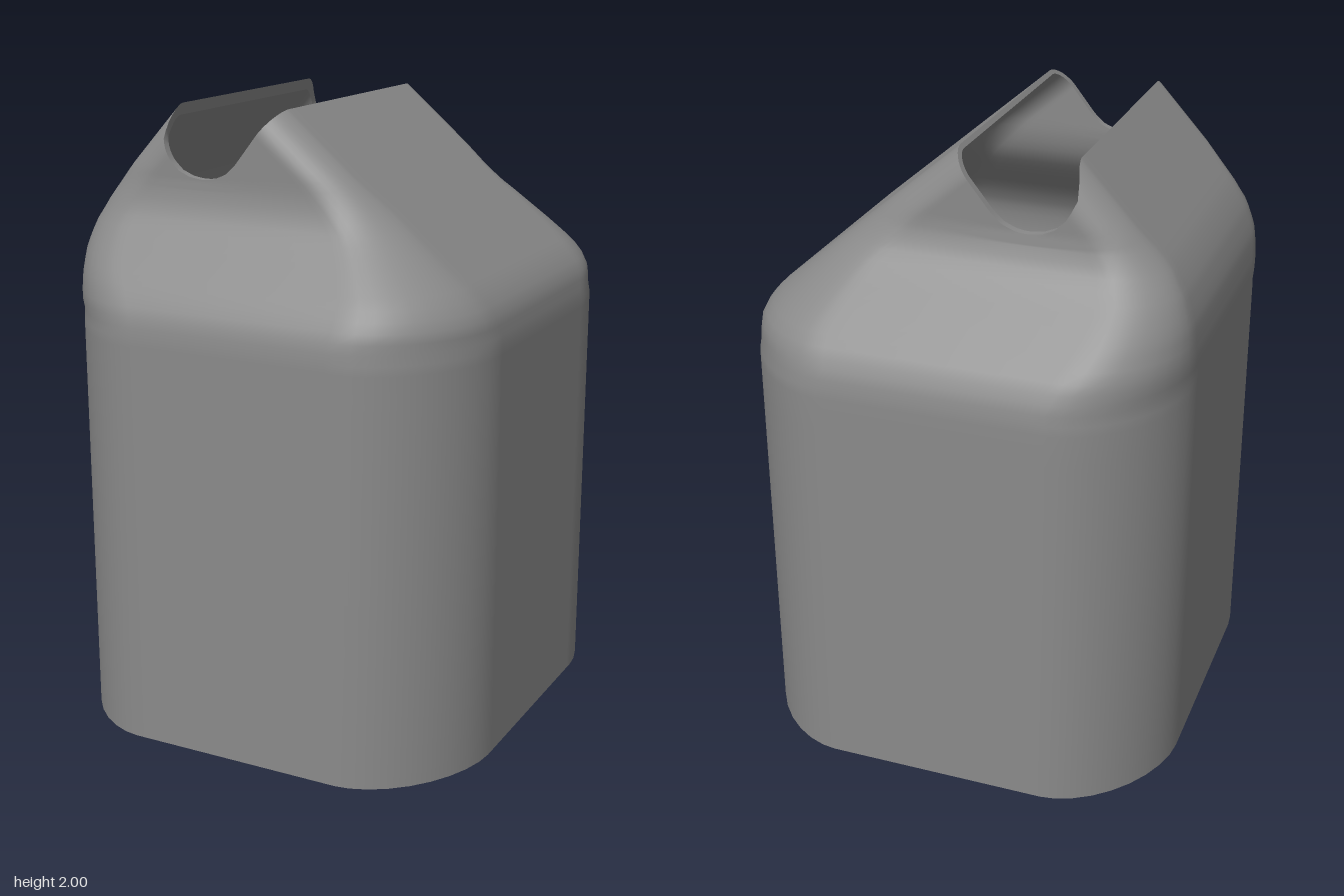
import * as THREE from 'three';

const WALL = 0.025;
const FLOOR = 0.03;

// Piecewise linear lookup in a list of [position, value]
function lookup(table, t) {
  if (t <= table[0][0]) return table[0][1];
  for (let i = 1; i < table.length; i++) {
    const [t0, v0] = table[i - 1], [t1, v1] = table[i];
    if (t <= t1) return v0 + (v1 - v0) * (t - t0) / (t1 - t0);
  }
  return table[table.length - 1][1];
}

// Extents of the horizontal section by height
const RIGHT = [[1.34, 0.7], [1.42, 0.685], [1.47, 0.655], [1.51, 0.615], [2, 0.037]];
const LEFT = [[1.43, -0.7], [1.53, -0.69], [1.62, -0.66], [1.7, -0.61], [1.75, -0.565], [2, -0.335]];
const FRONT = [[1.33, 0.775], [1.4, 0.765], [1.47, 0.725], [1.62, 0.6], [1.67, 0.565], [1.73, 0.547], [1.78, 0.543]];
const BACK = [[1.31, -0.775], [1.38, -0.765], [1.45, -0.73], [1.64, -0.545], [1.69, -0.505], [1.74, -0.482], [1.79, -0.475]];
const RADIUS_X = [[1.36, 0.34], [1.43, 0.31], [1.5, 0.26], [1.56, 0.22], [1.65, 0.17], [1.8, 0.14]];
const RADIUS_Z = [[1.36, 0.4], [1.43, 0.35], [1.5, 0.29], [1.56, 0.23], [1.65, 0.16], [1.8, 0.1]];

// Scooped opening: its lower edge by x, and its undercut left edge by height
const SCOOP = [[-0.353, 1.9], [-0.34, 1.87], [-0.32, 1.835], [-0.29, 1.807], [-0.25, 1.79], [-0.2, 1.784],
  [-0.16, 1.791], [-0.12, 1.81], [-0.09, 1.84], [0.037, 2]];
const SCOOP_LEFT = [[1.9, -0.353], [1.95, -0.348], [2, -0.335]];

// Columns around the rounded section: corners and the straight runs between them
const columns = [];
const CORNERS = [[1, 1], [0, 1], [0, 0], [1, 0]];
CORNERS.forEach(([u, v], k) => {
  for (let i = 0; i <= 9; i++) {
    const a = (k + i / 9) * Math.PI / 2;
    const bulge = (s) => Math.sign(s) * Math.pow(Math.abs(s), 2 / 1.75);
    columns.push({ u, v, p: bulge(Math.cos(a)), q: bulge(Math.sin(a)) });
  }
  const [u2, v2] = CORNERS[(k + 1) % 4];
  const a = (k + 1) * Math.PI / 2;
  for (let i = 1; i < 24; i++) {
    const f = i / 24;
    columns.push({ u: u + (u2 - u) * f, v: v + (v2 - v) * f, p: Math.round(Math.cos(a)), q: Math.round(Math.sin(a)) });
  }
});

function pointAt({ u, v, p, q }, y, inset) {
  const rx = lookup(RADIUS_X, y) - inset, rz = lookup(RADIUS_Z, y) - inset;
  const x0 = lookup(LEFT, y) + inset + rx, x1 = lookup(RIGHT, y) - inset - rx;
  const z0 = lookup(BACK, y) + inset + rz, z1 = lookup(FRONT, y) - inset - rz;
  return new THREE.Vector3(x0 + (x1 - x0) * u + rx * p, y, z0 + (z1 - z0) * v + rz * q);
}

// Height at which a column meets the opening
function topOf(column, inset) {
  let low = 1.75, high = 2;
  for (let i = 0; i < 24; i++) {
    const y = (low + high) / 2;
    const { x } = pointAt(column, y, inset);
    if (y > lookup(SCOOP, x) && x > lookup(SCOOP_LEFT, y)) high = y;
    else low = y;
  }
  return high;
}

// Rows of points up the wall, the last row following the opening
function wallRows(bottom, inset) {
  const rows = [bottom, 0.6, 1.2];
  for (let y = 1.3; y < 1.765; y += 0.03) rows.push(y);
  const result = rows.map((y) => columns.map((c) => pointAt(c, y, inset)));
  const last = rows[rows.length - 1];
  const tops = columns.map((c) => topOf(c, inset));
  for (let i = 1; i <= 8; i++) {
    result.push(columns.map((c, j) => pointAt(c, last + (tops[j] - last) * i / 8, inset)));
  }
  return result;
}

// Skin joining closed rows of points
function skin(rows, inward) {
  const n = columns.length, positions = [], index = [];
  rows.forEach((row) => row.forEach((p) => positions.push(p.x, p.y, p.z)));
  for (let i = 0; i < rows.length - 1; i++) {
    for (let j = 0; j < n; j++) {
      const a = i * n + j, b = i * n + (j + 1) % n, c = a + n, d = b + n;
      if (inward) index.push(a, b, c, b, d, c);
      else index.push(a, c, b, b, c, d);
    }
  }
  const geometry = new THREE.BufferGeometry();
  geometry.setAttribute('position', new THREE.Float32BufferAttribute(positions, 3));
  geometry.setIndex(index);
  geometry.computeVertexNormals();
  return geometry;
}

// Flat plate filling one row, facing up (1) or down (-1)
function plate(row, facing) {
  const shape = new THREE.Shape(row.map((p) => new THREE.Vector2(p.x, -facing * p.z)));
  return new THREE.ShapeGeometry(shape).rotateX(-facing * Math.PI / 2).translate(0, row[0].y, 0);
}

export function createModel() {
  const group = new THREE.Group();
  group.name = 'hollowContainer';
  const material = new THREE.MeshStandardMaterial({ color: 0x8a8a8a });
  const add = (name, geometry) => {
    const mesh = new THREE.Mesh(geometry, material);
    mesh.name = name;
    group.add(mesh);
  };

  const outer = wallRows(0, 0);
  const inner = wallRows(FLOOR, WALL);

  add('outerWall', skin(outer, false));
  add('innerWall', skin(inner, true));
  // Lip between the two walls around the opening
  add('openingRim', skin([outer[outer.length - 1], inner[inner.length - 1]], false));
  add('base', plate(outer[0], -1));
  add('innerFloor', plate(inner[0], 1));
  return group;
}
